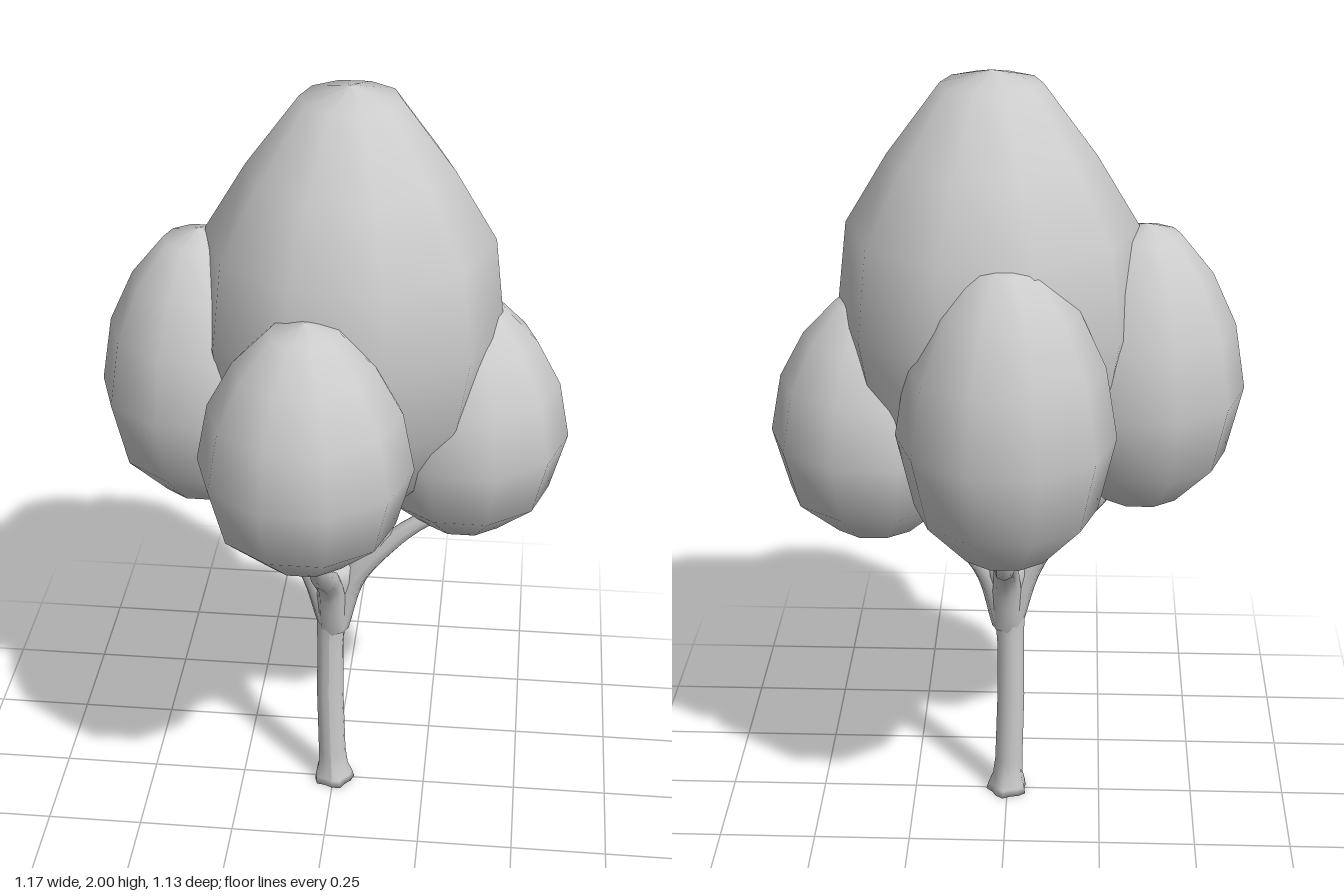
import * as THREE from 'three';

const material = new THREE.MeshStandardMaterial({ color: 0xcccccc, side: THREE.DoubleSide });

// Egg profiles: [height fraction, radius fraction]
const crownProfile = [[0, 0], [0.035, 0.38], [0.13, 0.68], [0.29, 0.9], [0.47, 1], [0.67, 0.93], [0.82, 0.66], [0.973, 0.32], [1, 0]];
const clumpProfile = [[0, 0], [0.03, 0.43], [0.18, 0.84], [0.42, 1], [0.65, 0.89], [0.83, 0.65], [0.965, 0.33], [1, 0]];

function addMesh(parent, name, geometry) {
  const mesh = new THREE.Mesh(geometry, material);
  mesh.name = name;
  parent.add(mesh);
  return mesh;
}

// Ten-sided smooth egg of leaves
function addFoliage(parent, name, profile, x, z, radius, bottom, top) {
  const points = profile.map(([t, r]) => new THREE.Vector2(r * radius, t * (top - bottom)));
  const egg = addMesh(parent, name, new THREE.LatheGeometry(points, 10, Math.PI / 2));
  egg.position.set(x, bottom, z);
}

// Tube whose radius runs from r0 to r1 along a smooth curve
function taperedTube(points, r0, r1) {
  const segments = 14, sides = 8;
  const curve = new THREE.CatmullRomCurve3(points.map((p) => new THREE.Vector3(...p)));
  const geometry = new THREE.TubeGeometry(curve, segments, 1, sides);
  const pos = geometry.attributes.position;
  const v = new THREE.Vector3();
  for (let i = 0; i < pos.count; i++) {
    const t = Math.floor(i / (sides + 1)) / segments;
    const centre = curve.getPointAt(t);
    v.fromBufferAttribute(pos, i).sub(centre).multiplyScalar(r0 + (r1 - r0) * t).add(centre);
    pos.setXYZ(i, v.x, v.y, v.z);
  }
  return geometry;
}

// Trunk with a flared, lobed foot
function trunkGeometry() {
  const profile = [[0, 0], [0.052, 0], [0.049, 0.02], [0.04, 0.05], [0.037, 0.1], [0.036, 0.3],
    [0.035, 0.45], [0.039, 0.54], [0.047, 0.61], [0.056, 0.67], [0.052, 0.71], [0, 0.72]];
  const geometry = new THREE.LatheGeometry(profile.map(([r, y]) => new THREE.Vector2(r, y)), 15);
  const pos = geometry.attributes.position;
  for (let i = 0; i < pos.count; i++) {
    const x = pos.getX(i), y = pos.getY(i), z = pos.getZ(i);
    const lobe = 1 + 0.12 * Math.max(0, 1 - y / 0.07) * Math.cos(5 * Math.atan2(z, x));
    const shift = -0.01 * Math.sin(Math.PI * Math.min(1, y / 0.7));
    pos.setXYZ(i, x * lobe + shift, y, z * lobe);
  }
  geometry.computeVertexNormals();
  return geometry;
}

export function createModel() {
  const tree = new THREE.Group();
  tree.name = 'tree';

  addMesh(tree, 'trunk', trunkGeometry());

  // Four limbs, each with an upright fork; given as [outward distance, height]
  const limbs = [
    { name: 'rightLimb', dir: [-1, 0], path: [[0, 0.52], [0.055, 0.68], [0.13, 0.79], [0.22, 0.87], [0.3, 0.98]], fork: [[0.1, 0.76], [0.125, 0.84], [0.11, 0.98]] },
    { name: 'leftLimb', dir: [1, 0], path: [[0, 0.52], [0.05, 0.67], [0.14, 0.78], [0.22, 0.85], [0.31, 0.9]], fork: [[0.1, 0.74], [0.135, 0.83], [0.1, 0.97]] },
    { name: 'frontLimb', dir: [-0.08, 1], path: [[0, 0.52], [0.06, 0.68], [0.15, 0.76], [0.23, 0.84], [0.3, 0.99]], fork: [[0.16, 0.77], [0.2, 0.86], [0.165, 1]] },
    { name: 'backLimb', dir: [0, -1], path: [[0, 0.52], [0.06, 0.68], [0.14, 0.75], [0.24, 0.8], [0.31, 0.95]], fork: [[0.13, 0.74], [0.18, 0.83], [0.16, 0.97]] },
  ];
  for (const { name, dir, path, fork } of limbs) {
    const limb = new THREE.Group();
    limb.name = name;
    tree.add(limb);
    const place = ([d, y]) => [dir[0] * d, y, dir[1] * d];
    addMesh(limb, 'bough', taperedTube(path.map(place), 0.042, 0.017));
    addMesh(limb, 'fork', taperedTube(fork.map(place), 0.024, 0.014));
  }

  // Foliage: tall centre crown and four lower clumps
  addFoliage(tree, 'centreCrown', crownProfile, 0.035, -0.045, 0.378, 0.875, 2);
  addFoliage(tree, 'rightClump', clumpProfile, -0.335, -0.035, 0.252, 0.905, 1.63);
  addFoliage(tree, 'leftClump', clumpProfile, 0.33, -0.065, 0.257, 0.825, 1.46);
  addFoliage(tree, 'frontClump', clumpProfile, -0.035, 0.32, 0.258, 0.93, 1.565);
  addFoliage(tree, 'backClump', clumpProfile, -0.008, -0.32, 0.262, 0.87, 1.64);

  return tree;
}
